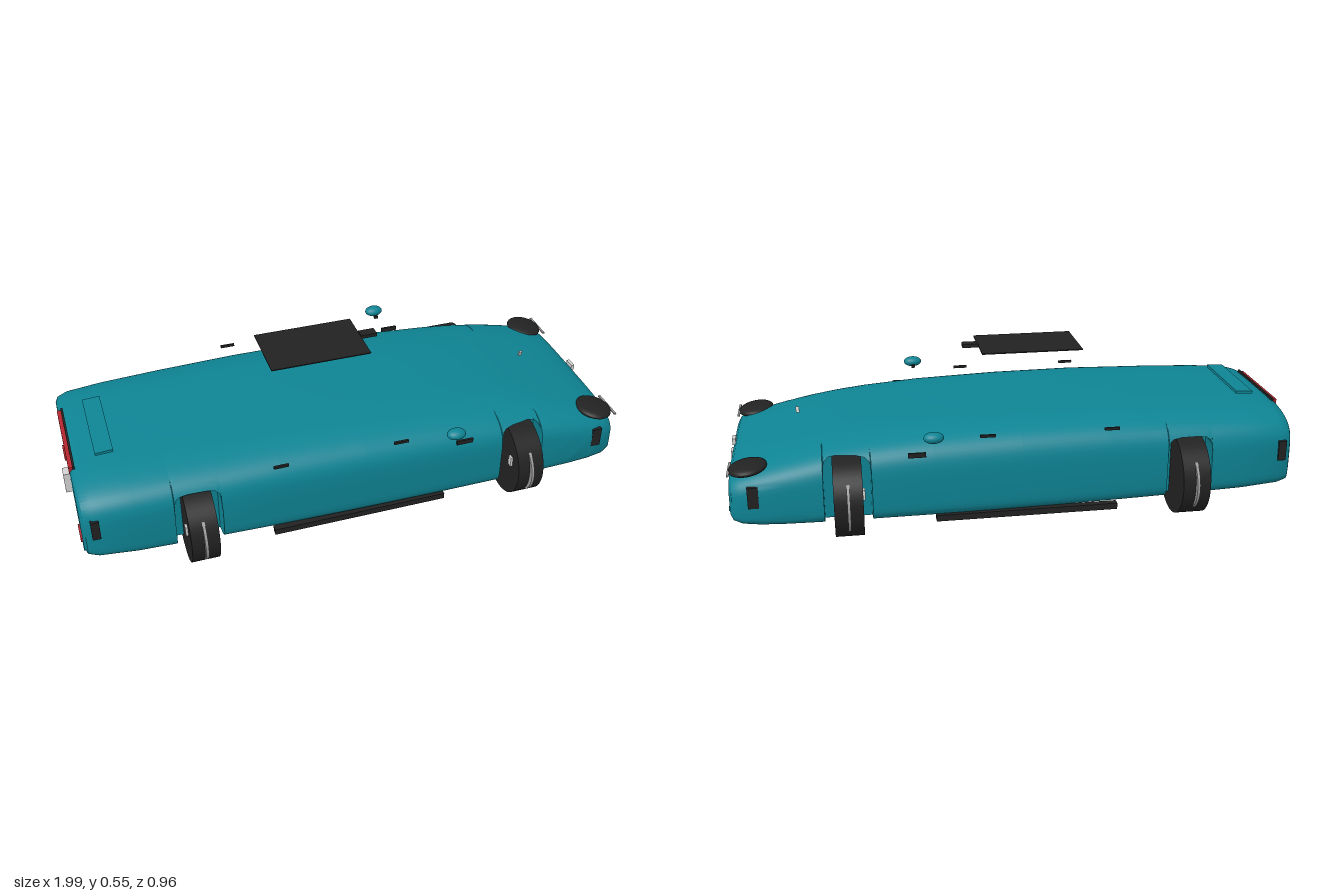
import * as THREE from 'three';
import { toCreasedNormals } from 'three/addons/utils/BufferGeometryUtils.js';

const mat = (name, color) => {
  const m = new THREE.MeshStandardMaterial({ color });
  m.name = name;
  return m;
};

// Body stations: x, top, bottom, half width
const STATIONS = [
  [-0.975, 0.2, 0.199, 0.001], [-0.975, 0.32, 0.085, 0.325], [-0.965, 0.333, 0.073, 0.345],
  [-0.93, 0.342, 0.068, 0.36], [-0.8, 0.351, 0.06, 0.37], [-0.6, 0.358, 0.055, 0.376],
  [-0.3, 0.365, 0.049, 0.382], [0, 0.362, 0.045, 0.385], [0.3, 0.351, 0.043, 0.385],
  [0.5, 0.335, 0.043, 0.383], [0.6, 0.323, 0.043, 0.381], [0.7, 0.306, 0.044, 0.379],
  [0.8, 0.284, 0.046, 0.376], [0.88, 0.264, 0.049, 0.371], [0.94, 0.248, 0.055, 0.363],
  [0.97, 0.234, 0.066, 0.35], [0.98, 0.218, 0.08, 0.33], [0.98, 0.15, 0.149, 0.001]
];
const WHEEL_X = [-0.59, 0.59], ARCH = 0.08;

function stationAt(x) {
  const i = STATIONS.findIndex((s) => s[0] > x);
  const a = STATIONS[i - 1], b = STATIONS[i], t = (x - a[0]) / (b[0] - a[0]);
  return a.map((v, k) => v + (b[k] - v) * t);
}

// One closed cross-section; the lower side is pushed in where a wheel arch is cut
function section([x, top, bot, w], arch) {
  const mid = (top + bot) * 0.45 + (top - bot < 0.01 ? (top + bot) * 0.05 : 0);
  const u = Math.min(1, arch === null ? 1 : Math.abs(x - arch) / ARCH);
  let split = 0.2 + 0.088 * Math.pow(1 - Math.pow(u, 5), 0.2);
  split = Math.min(top, Math.max(bot, split));
  const v = split > mid ? (split - mid) / (top - mid) : (split - mid) / (mid - bot);
  const power = (s) => (s > 0 ? 4 : 7);
  const ts = Math.sign(v) * Math.asin(Math.min(1, Math.pow(Math.abs(v), power(v) / 2)));
  const half = [];
  const add = (t, limit) => {
    const e = 2 / power(t), s = Math.pow(Math.abs(Math.sin(t)), e);
    const z = w * Math.pow(Math.max(0, Math.cos(t)), e);
    half.push([x, t > 0 ? mid + s * (top - mid) : mid - s * (mid - bot), Math.min(z, limit)]);
  };
  const lo = 18, hi = 18, q = Math.PI / 2;
  for (let i = 0; i <= lo; i++) add(-q + (ts + q) * i / lo, arch === null ? 9 : 0.3);
  for (let i = 0; i <= hi; i++) add(ts + (q - ts) * i / hi, 9);
  return half.concat(half.slice().reverse().map(([a, b, c]) => [a, b, -c]));
}

function bodyGeometry() {
  const cols = STATIONS.filter((s) => WHEEL_X.every((c) => Math.abs(s[0] - c) > ARCH))
    .map((s) => ({ s, arch: null }));
  for (const c of WHEEL_X) {
    for (const u of [-1, -0.97, -0.9, -0.75, -0.4, 0, 0.4, 0.75, 0.9, 0.97, 1]) {
      const s = stationAt(c + u * ARCH);
      if (Math.abs(u) === 1) cols.push({ s: stationAt(c + u * (ARCH + 0.0005)), arch: null });
      cols.push({ s, arch: c });
    }
  }
  // Stable sort keeps the end caps in place
  const last = cols.findIndex((c) => c.s === STATIONS[STATIONS.length - 1]);
  const cap = cols.splice(last, 1)[0];
  cols.sort((a, b) => a.s[0] - b.s[0]);
  cols.push(cap);
  const rings = cols.map((c) => section(c.s, c.arch)), n = rings[0].length;
  const pos = rings.flat(2), idx = [];
  for (let i = 0; i < rings.length - 1; i++) {
    for (let j = 0; j < n; j++) {
      const k = (j + 1) % n, a = i * n + j, b = a + n, c = (i + 1) * n + k, d = i * n + k;
      idx.push(a, b, c, a, c, d);
    }
  }
  const g = new THREE.BufferGeometry();
  g.setAttribute('position', new THREE.Float32BufferAttribute(pos, 3));
  g.setIndex(idx);
  return toCreasedNormals(g, 0.7);
}

export function createModel() {
  const teal = mat('teal paint', 0x0e8494);
  const black = mat('black trim', 0x222222);
  const silver = mat('silver', 0xd4d4d4);
  const grey = mat('grey metal', 0x9a9a9a);
  const red = mat('red lamp', 0xb3262e);
  const car = new THREE.Group();
  car.name = 'car';

  const put = (name, geo, m, x, y, z) => {
    const mesh = new THREE.Mesh(geo, m);
    mesh.name = name;
    mesh.position.set(x, y, z);
    car.add(mesh);
    return mesh;
  };
  const box = (name, m, x, y, z, w, h, d) => put(name, new THREE.BoxGeometry(w, h, d), m, x, y, z);
  const ball = (name, m, x, y, z, w, h, d) =>
    put(name, new THREE.SphereGeometry(0.5, 28, 18).scale(w, h, d), m, x, y, z);
  const disc = (name, m, x, y, z, r, h) =>
    put(name, new THREE.CylinderGeometry(r, r, h, 48).rotateZ(Math.PI / 2), m, x, y, z);

  put('body', bodyGeometry(), teal, 0, 0, 0);

  for (const s of [-1, 1]) {
    // Wheels
    for (const x of WHEEL_X) {
      disc('tyre', black, x, 0.14, s * 0.325, 0.14, 0.096);
      disc('wheelDisc', grey, x, 0.14, s * 0.382, 0.1, 0.01);
      box('brakeBlock', silver, x - 0.05, 0.17, s * 0.4, 0.012, 0.036, 0.02);
    }
    // Headlights
    ball('headlight', black, 0.915, 0.248, s * 0.293, 0.13, 0.04, 0.145).rotation.z = -0.12;
    box('headlightStrip', grey, 0.977, 0.243, s * 0.29, 0.008, 0.005, 0.12);
    // Side trim
    box('frontSideMarker', black, 0.9, 0.167, s * 0.363, 0.036, 0.074, 0.016);
    box('rearSideMarker', black, -0.93, 0.215, s * 0.359, 0.028, 0.072, 0.016);
    box('sill', black, -0.018, 0.053, s * 0.368, 0.63, 0.022, 0.025);
    for (const x of [-0.305, 0.12]) box('doorHandle', black, x, 0.344, s * 0.383, 0.052, 0.009, 0.008);
    box('sideVent', black, 0.358, 0.291, s * 0.385, 0.06, 0.016, 0.008);
    // Mirrors
    ball('mirror', teal, 0.305, 0.364, s * 0.422, 0.068, 0.038, 0.05);
    box('mirrorStalk', black, 0.305, 0.352, s * 0.393, 0.014, 0.01, 0.01);
    // Bumper details
    box('frontBumperPlate', teal, 0.981, 0.095, s * 0.252, 0.014, 0.012, 0.062);
    box('rearReflector', red, -0.974, 0.1, s * 0.228, 0.014, 0.016, 0.075);
    box('rearBumperPlate', teal, -0.966, 0.075, s * 0.25, 0.02, 0.014, 0.07);
  }

  // Raised roof panel
  box('roofPanel', black, -0.08, 0.545, 0.002, 0.36, 0.004, 0.234);
  box('roofPanelHandle', black, 0.128, 0.548, 0, 0.058, 0.013, 0.036);

  // Nose
  box('grille', black, 0.98, 0.097, 0, 0.016, 0.048, 0.284);
  box('grilleInset', black, 0.987, 0.097, 0, 0.008, 0.026, 0.23);
  box('noseStripe', silver, 0.983, 0.159, 0, 0.016, 0.082, 0.04);
  box('noseBadge', silver, 0.978, 0.235, 0, 0.012, 0.022, 0.04);
  box('bonnetPin', silver, 0.75, 0.337, 0, 0.012, 0.022, 0.006).rotation.x = 0.35;

  // Tail
  box('spoiler', teal, -0.855, 0.367, 0, 0.062, 0.01, 0.32).rotation.z = 0.06;
  box('tailLamp', red, -0.971, 0.323, 0, 0.014, 0.028, 0.335);
  box('tailLampFrame', black, -0.961, 0.324, 0, 0.008, 0.036, 0.345);
  box('tailStripe', silver, -0.985, 0.155, 0, 0.026, 0.08, 0.04);
  return car;
}
